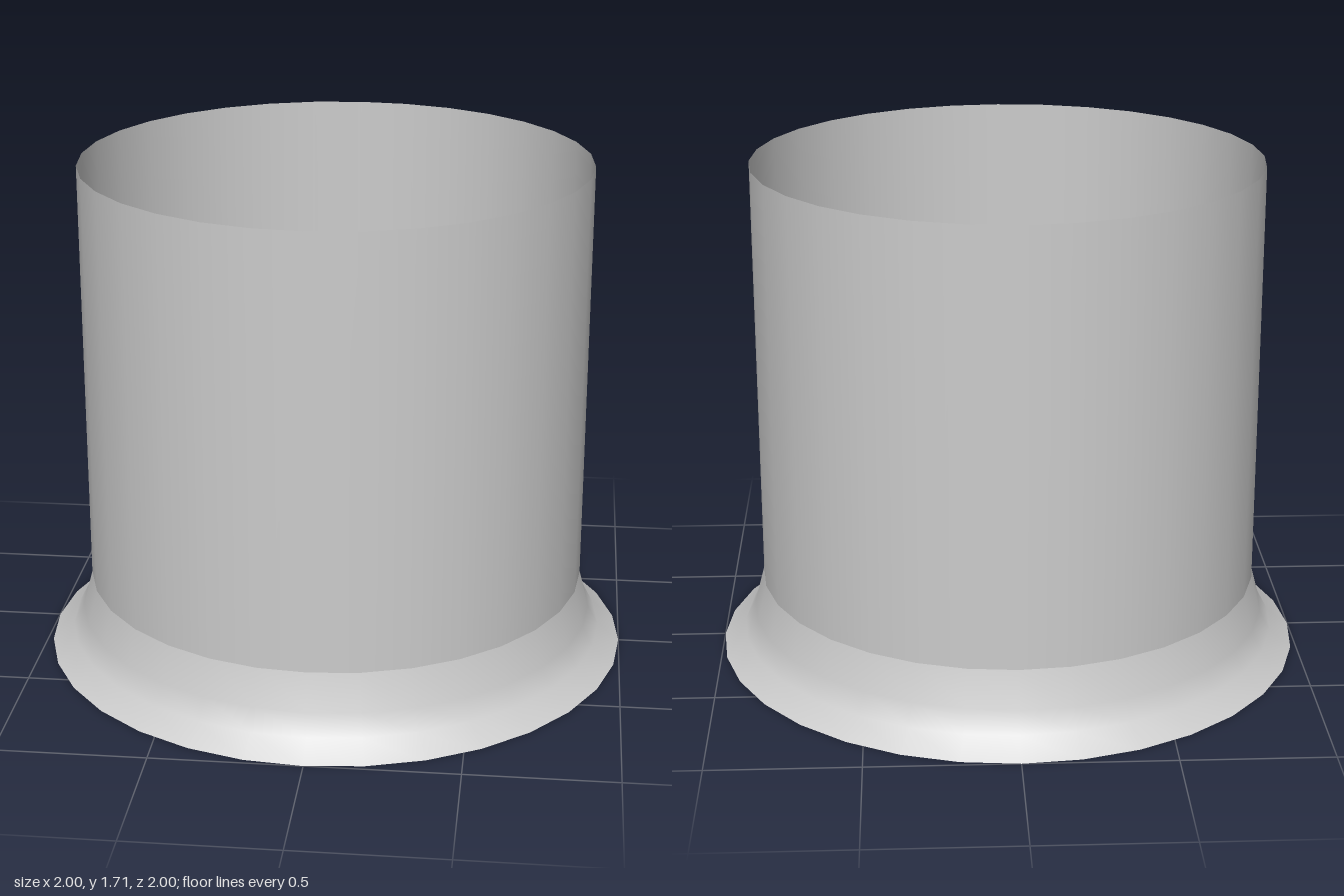
import * as THREE from 'three';

export function createModel() {
  const group = new THREE.Group();
  const material = new THREE.MeshStandardMaterial({ color: 0xcccccc, side: THREE.DoubleSide });
  const sides = 32;
  const radius = 0.855;
  const height = 1.71;

  // Thin open pipe running the full height
  const pipeGeometry = new THREE.CylinderGeometry(radius, radius, height, sides, 1, true);
  const pipe = new THREE.Mesh(pipeGeometry, material);
  pipe.name = 'pipe';
  pipe.position.y = height / 2;
  group.add(pipe);

  // Flared skirt around the foot, open underneath
  const profile = [[1, 0], [0.925, 0.06], [0.888, 0.13], [radius, 0.255]]
    .map(([r, y]) => new THREE.Vector2(r, y));
  const skirt = new THREE.Mesh(new THREE.LatheGeometry(profile, sides), material);
  skirt.name = 'flaredSkirt';
  group.add(skirt);

  return group;
}
